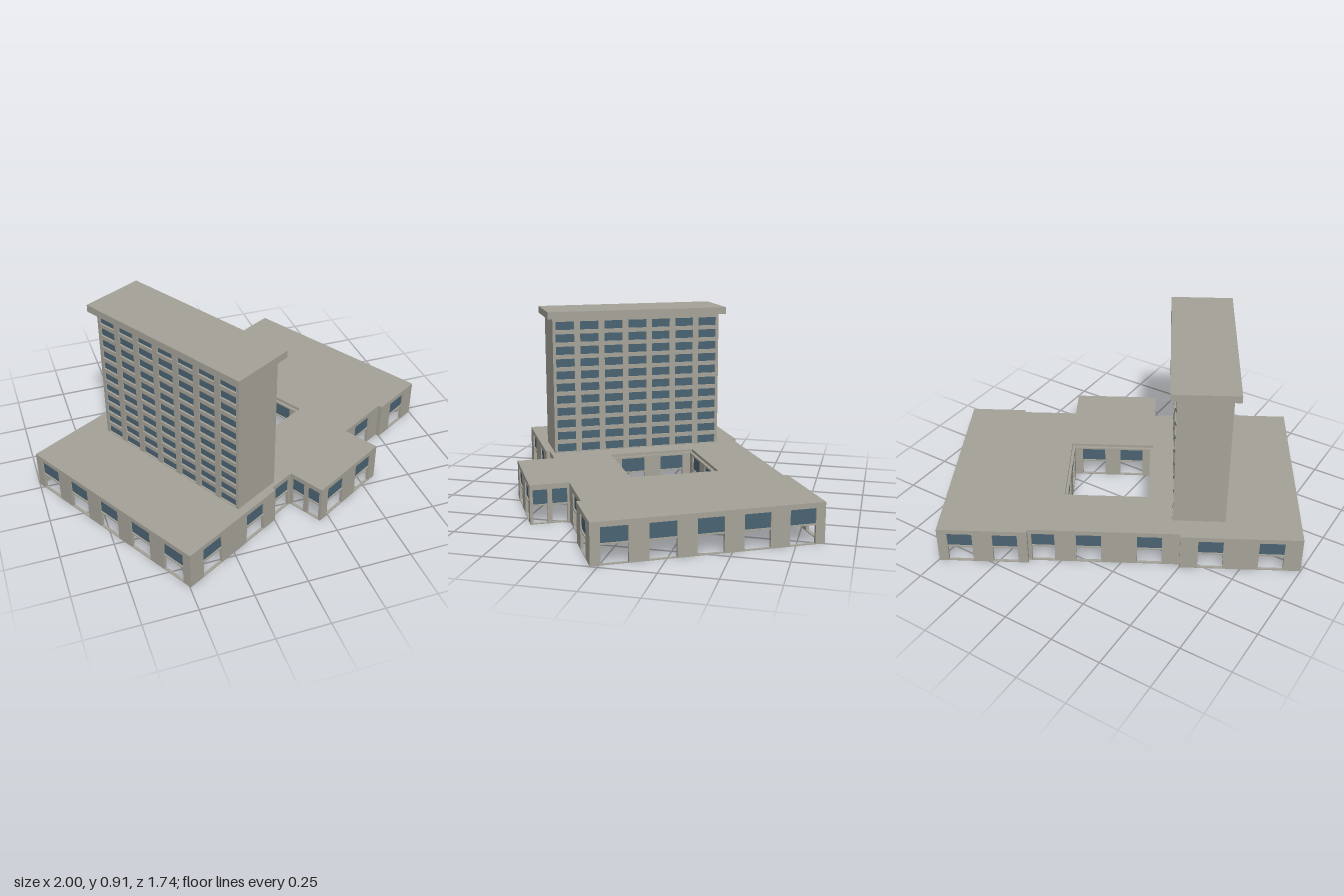
import * as THREE from 'three';

const concrete = new THREE.MeshStandardMaterial({ color: 0xa5a398 });
concrete.name = 'concrete';
const glass = new THREE.MeshStandardMaterial({ color: 0x4b6373 });
glass.name = 'glass';

const ROOF = 0.187, CEILING = 0.172, T = 0.014;
const TOWER_TOP = 0.875;

function box(name, x0, x1, y0, y1, z0, z1, material = concrete) {
  const mesh = new THREE.Mesh(new THREE.BoxGeometry(x1 - x0, y1 - y0, z1 - z0), material);
  mesh.position.set((x0 + x1) / 2, (y0 + y1) / 2, (z0 + z1) / 2);
  mesh.name = name;
  return mesh;
}

function rectangle(PathClass, x0, y0, x1, y1) {
  return new PathClass([[x0, y0], [x1, y0], [x1, y1], [x0, y1]].map(p => new THREE.Vector2(...p)));
}

// Panel from plan point a to b with rectangular holes; its outer face is on local z = 0
function panel(name, a, b, y0, y1, holes, extend = 0) {
  const dx = b[0] - a[0], dz = b[1] - a[1];
  const shape = rectangle(THREE.Shape, -extend, y0, Math.hypot(dx, dz) + extend, y1);
  for (const h of holes) shape.holes.push(rectangle(THREE.Path, ...h));
  const geometry = new THREE.ExtrudeGeometry(shape, { depth: T, bevelEnabled: false });
  geometry.translate(0, 0, -T);
  const group = new THREE.Group();
  group.name = name;
  const wall = new THREE.Mesh(geometry, concrete);
  wall.name = name + 'Panel';
  group.add(wall);
  group.position.set(a[0], 0, a[1]);
  group.rotation.y = Math.atan2(-dz, dx);
  return group;
}

// Ground floor wall: each bay has an open lower half and a glazed upper half
function groundWall(name, a, b, bays, extend = 0) {
  const length = Math.hypot(b[0] - a[0], b[1] - a[1]);
  const holes = [], panes = [];
  for (let i = 0; i < bays; i++) {
    const bay = length / bays, mid = bay * (i + 0.5);
    const half = Math.min(0.118, bay * 0.76) / 2;
    holes.push([mid - half, 0.004, mid + half, 0.087], [mid - half, 0.093, mid + half, 0.163]);
    panes.push(box('windowPane', mid - half, mid + half, 0.093, 0.163, -0.011, -0.007, glass));
  }
  const wall = panel(name, a, b, 0, CEILING, holes, extend);
  if (panes.length) wall.add(...panes);
  return wall;
}

export function createModel() {
  const model = new THREE.Group();
  model.name = 'officeBuilding';
  const building = new THREE.Group();
  building.name = 'rotatedBuilding';
  building.rotation.y = 0.51;
  model.add(building);

  // Podium outline: plan x, plan z, window bays on the wall that starts here
  const outline = [
    [-0.857, 0.515, 2], [-0.287, 0.515, 0], [-0.287, 0.495, 1], [-0.15, 0.495, 2],
    [-0.15, 0.678, 2], [0.287, 0.678, 2], [0.287, 0.495, 1], [0.57, 0.495, 0],
    [0.57, 0.515, 1], [0.857, 0.515, 5], [0.857, -0.515, 2], [0.43, -0.515, 0],
    [0.43, -0.495, 1], [0.287, -0.495, 2], [-0.287, -0.495, 0], [-0.287, -0.515, 2],
    [-0.857, -0.515, 5],
  ];
  outline.forEach((p, i) => {
    building.add(groundWall('outerWall', p, outline[(i + 1) % outline.length], p[2]));
  });

  // Courtyard walls, facing inwards
  const court = [[-0.131, -0.21], [0.265, -0.21], [0.265, 0.194], [-0.131, 0.194]];
  court.forEach((p, i) => {
    building.add(groundWall('courtyardWall', p, court[(i + 1) % 4], 2, T));
  });

  // Podium roof with the courtyard opening
  const roof = new THREE.Shape(outline.map(p => new THREE.Vector2(p[0], -p[1])));
  roof.holes.push(rectangle(THREE.Path, -0.145, -0.208, 0.279, 0.224));
  const slab = new THREE.ExtrudeGeometry(roof, { depth: ROOF - CEILING, bevelEnabled: false });
  slab.rotateX(-Math.PI / 2);
  slab.translate(0, CEILING, 0);
  const slabMesh = new THREE.Mesh(slab, concrete);
  slabMesh.name = 'podiumRoof';
  building.add(slabMesh);

  // Tower: two window grids between blank end walls
  const [x0, x1, z0, z1] = [-0.5, -0.25, -0.395, 0.474];
  const columns = 7, rows = 11;
  const length = z1 - z0, bay = length / columns, storey = (TOWER_TOP - ROOF) / rows;
  const holes = [];
  for (let c = 0; c < columns; c++) {
    for (let r = 0; r < rows; r++) {
      const x = bay * (c + 0.5), y = ROOF + r * storey + 0.003;
      holes.push([x - 0.047, y, x + 0.047, y + 0.042]);
    }
  }
  for (const [name, a, b] of [
    ['towerLeftFacade', [x1, z1], [x1, z0]],
    ['towerRightFacade', [x0, z0], [x0, z1]],
  ]) {
    const facade = panel(name, a, b, ROOF, TOWER_TOP, holes);
    facade.add(box('towerGlazing', 0.008, length - 0.008, ROOF, TOWER_TOP, -0.013, -0.009, glass));
    building.add(facade);
  }
  building.add(
    box('towerFrontWall', x0 + T, x1 - T, ROOF, TOWER_TOP, z1 - T, z1),
    box('towerBackWall', x0 + T, x1 - T, ROOF, TOWER_TOP, z0, z0 + T),
    box('towerRoof', -0.53, -0.22, TOWER_TOP, 0.91, -0.425, 0.501),
  );
  return model;
}
